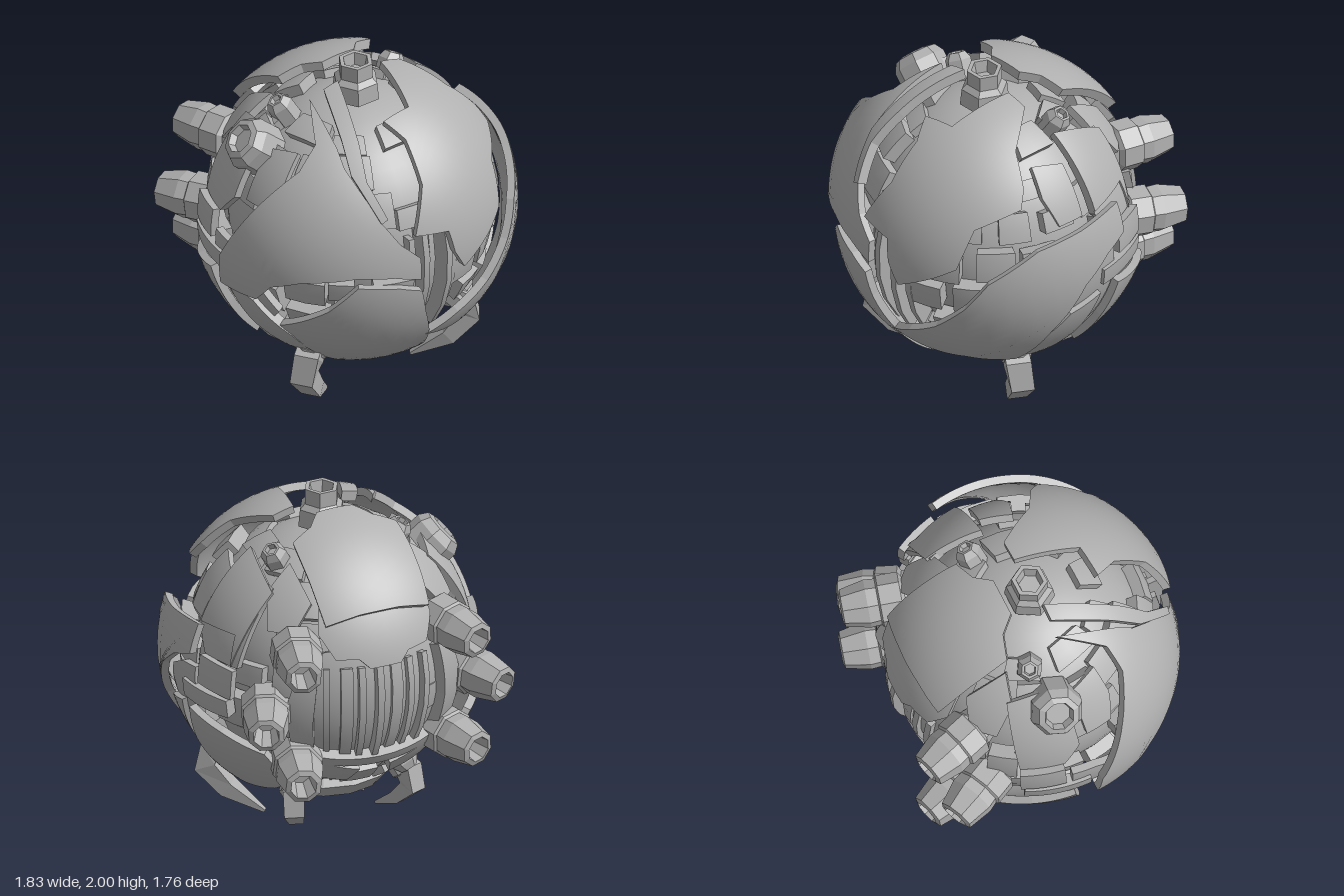
import * as THREE from 'three';

const C = new THREE.Vector3(0, 1.07, 0), RV = 0.9;
const V = (x, y, z) => new THREE.Vector3(x, y, z);
const depth = (a, b) => Math.sqrt(Math.max(0, RV * RV - a * a - b * b));

// Directions from the ball's centre, given by two coordinates on the shell
const F = (x, y) => V(x, y - C.y, depth(x, y - C.y)).normalize();
const B = (x, y) => V(x, y - C.y, -depth(x, y - C.y)).normalize();
const S = (z, y) => V(depth(z, y - C.y), y - C.y, z).normalize();
const T = (x, z) => V(x, depth(x, z), z).normalize();
const polar = (lon, lat) => V(Math.sin(lon) * Math.cos(lat), Math.sin(lat), Math.cos(lon) * Math.cos(lat));

let seed = 7;
const rand = () => (seed = (seed * 16807) % 2147483647) / 2147483647;

export function createModel() {
  const metal = new THREE.MeshStandardMaterial({ color: 0xb0b0b0, side: THREE.DoubleSide });
  metal.name = 'grey metal';
  const model = new THREE.Group();
  model.name = 'roundDrone';
  const add = (name, geometry) => {
    const mesh = new THREE.Mesh(geometry, metal);
    mesh.name = name;
    model.add(mesh);
    return mesh;
  };
  const flat = (g) => {
    const f = g.index ? g.toNonIndexed() : g;
    f.computeVertexNormals();
    return f;
  };

  // Thick curved plate: an outline of directions, filled and wrapped on a sphere
  // whose centre may be shifted, so that the plate stands away from the ball
  function plate(name, outline, R, thick = 0.045, level = 3, shift = V(0, 0, 0)) {
    let pts = outline.map((p) => p.clone().multiplyScalar(RV).sub(shift).normalize());
    const m = pts.reduce((s, p) => s.add(p), V(0, 0, 0)).normalize();
    const u = V(0, 1, 0).cross(m).normalize(), v = m.clone().cross(u), O = C.clone().add(shift);
    const project = (p) => new THREE.Vector2(p.dot(u) / p.dot(m), p.dot(v) / p.dot(m));
    if (THREE.ShapeUtils.area(pts.map(project)) < 0) pts = pts.reverse();
    const pos = [], nor = [];
    const put = (d, r, n) => {
      pos.push(O.x + d.x * r, O.y + d.y * r, O.z + d.z * r);
      nor.push(n.x, n.y, n.z);
    };
    const mid = (a, b) => a.clone().add(b).normalize();
    const fill = (a, b, c, n) => {
      if (n > 0) {
        const ab = mid(a, b), bc = mid(b, c), ca = mid(c, a);
        fill(a, ab, ca, n - 1); fill(ab, b, bc, n - 1);
        fill(ca, bc, c, n - 1); fill(ab, bc, ca, n - 1);
        return;
      }
      for (const d of [a, b, c]) put(d, R, d);
      for (const d of [a, c, b]) put(d, R - thick, d.clone().negate());
    };
    const wall = (a, b, n) => {
      if (n > 0) {
        const ab = mid(a, b);
        wall(a, ab, n - 1); wall(ab, b, n - 1);
        return;
      }
      const out = b.clone().sub(a).cross(a).normalize(), r = R - thick;
      [[a, r], [b, r], [b, R], [a, r], [b, R], [a, R]].forEach(([d, q]) => put(d, q, out));
    };
    for (const [i, j, k] of THREE.ShapeUtils.triangulateShape(pts.map(project), []))
      fill(pts[i], pts[j], pts[k], level);
    pts.forEach((p, i) => wall(p, pts[(i + 1) % pts.length], level));
    const g = new THREE.BufferGeometry();
    g.setAttribute('position', new THREE.Float32BufferAttribute(pos, 3));
    g.setAttribute('normal', new THREE.Float32BufferAttribute(nor, 3));
    add(name, g);
  }
  const flip = (pts) => pts.map((p) => V(-p.x, p.y, p.z));
  const both = (name, pts, ...rest) => {
    plate(name + 'Left', pts, ...rest);
    plate(name + 'Right', flip(pts), ...rest);
  };
  const cell = (lon, lat, w, h) => [polar(lon, lat), polar(lon + w, lat), polar(lon + w, lat + h), polar(lon, lat + h)];

  // Inner ball, covered with machinery blocks of uneven height
  add('core', new THREE.SphereGeometry(0.69, 40, 28)).position.copy(C);
  for (let row = 0; row < 8; row++) {
    const lat = -1.2 + row * 0.3, n = Math.max(6, Math.round(19 * Math.cos(lat + 0.15)));
    for (let i = 0; i < n; i++) {
      const w = (Math.PI * 2) / n, lon = i * w + row * 0.17, d = polar(lon + w / 2, lat + 0.15);
      const inFront = d.z > 0 && Math.abs(d.x) < 0.2 && d.y < 0.35;
      const inBack = d.z < 0 && Math.abs(d.x) < 0.46 && Math.abs(d.y) < 0.5;
      const skip = rand() < 0.12, R = (row > 4 ? 0.715 : 0.745) + rand() * 0.07, k = 0.6 + rand() * 0.35;
      if (skip || inFront || inBack) continue;
      plate('machineryBlock', cell(lon, lat + rand() * 0.05, w * k, 0.15 + rand() * 0.12), R, 0.09, 1);
    }
  }

  // Upright slats in the front slot and the domed rear window
  for (let i = 0; i < 5; i++)
    plate('frontSlat', cell(-0.2 + i * 0.085, -0.62, 0.045, 0.85 + (i % 2) * 0.08), [0.77, 0.81, 0.76, 0.83, 0.79][i], 0.12, 2);
  plate('rearDome', cell(Math.PI - 0.55, -0.6, 1.1, 0.95), 0.755, 0.05, 4);
  for (let i = 0; i < 7; i++)
    plate('rearSlat', cell(Math.PI - 0.45 + i * 0.13, -0.55, i % 3 === 1 ? 0.09 : 0.05, 0.8), 0.775 + ((i * 5) % 4) * 0.011, 0.06, 2);

  // Large front armour plates
  plate('upperRightArmour', [T(-0.33, 0.04), F(-0.47, 1.78), F(-0.6, 1.66), F(-0.8, 1.43), V(-0.9, 0, 0.02).normalize(),
    V(-0.9, -0.2, 0).normalize(), F(-0.84, 0.88), F(-0.82, 1.0), F(-0.73, 1.07), F(-0.5, 1.11), F(-0.3, 1.08), F(-0.13, 1.02), F(-0.13, 1.17),
    F(-0.25, 1.29), F(-0.33, 1.43), F(-0.38, 1.58), F(-0.41, 1.7), F(-0.39, 1.78)], 0.85, 0.045, 3, V(-0.07, -0.01, -0.03));
  plate('upperRightArmourRim', [T(-0.14, 0.05), T(-0.24, 0.05), F(-0.35, 1.81), F(-0.4, 1.67), F(-0.34, 1.43),
    F(-0.3, 1.45), F(-0.34, 1.64), F(-0.28, 1.8)], 0.87, 0.06);
  plate('upperLeftArmour', [F(-0.09, 1.86), F(0, 1.87), F(0.1, 1.87), T(0.18, 0.02), T(0.31, 0.02), F(0.46, 1.8), F(0.6, 1.65), F(0.64, 1.56),
    F(0.5, 1.47), F(0.47, 1.24), F(0.36, 1.16), F(0.14, 1.03), F(0.07, 1.16), F(0.04, 1.3), F(-0.17, 1.33), F(-0.05, 1.58), F(-0.03, 1.78)],
    0.835, 0.045, 3, V(0.03, 0.025, 0.035));
  plate('lowerLeftArmour', [F(-0.03, 0.56), F(0.2, 0.51), S(0.59, 0.52), S(0.38, 0.49), S(0.32, 0.77), S(0.16, 1.05), S(0, 1.18), S(-0.15, 1.24),
    S(-0.15, 1.41), S(0.14, 1.38), S(0.4, 1.34), F(0.62, 1.17), F(0.52, 0.99), F(0.35, 0.81), F(0.15, 0.68)], 0.88, 0.045, 3, V(0.04, 0, 0));
  plate('lowerRightArmour', [F(-0.5, 1.04), F(-0.28, 1.01), F(-0.14, 0.96), F(-0.1, 0.8), F(-0.02, 0.6), F(0.04, 0.42), F(0.04, 0.2),
    F(-0.1, 0.22), F(-0.35, 0.32), F(-0.55, 0.46), F(-0.74, 0.66), F(-0.62, 0.86)], 0.85, 0.045, 3, V(0, -0.05, 0));

  // Side panels
  both('sideMidPanel', [S(0.34, 0.76), S(0.18, 1.03), S(0.02, 1.12), S(-0.13, 1.14), S(-0.13, 0.9), S(-0.06, 0.62), S(0.05, 0.52), S(0.2, 0.62)], 0.85);
  both('sideRearBlock', [S(-0.02, 1.03), S(-0.4, 1.03), S(-0.4, 0.92), S(-0.02, 0.92)], 0.87, 0.07);
  both('sideUpperPanel', [S(-0.05, 1.38), S(-0.05, 1.68), S(-0.1, 1.76), S(-0.38, 1.7), S(-0.42, 1.47), S(-0.42, 1.23), S(-0.16, 1.24)], 0.82);
  both('sideUpperFrontPanel', [S(0.02, 1.4), S(0, 1.7), S(0.2, 1.74), S(0.24, 1.58), S(0.2, 1.4)], 0.79);
  both('sideRearPanel', [S(-0.17, 1.24), S(-0.42, 1.22), S(-0.42, 1.04), S(-0.17, 1.06)], 0.86);
  both('lowerRearArmour', [S(-0.12, 0.9), S(-0.35, 0.83), S(-0.56, 0.75), S(-0.58, 0.56), S(-0.42, 0.45), S(-0.2, 0.4), S(-0.02, 0.43), S(-0.06, 0.66)], 0.9);
  both('lowerSideRib', [F(0.84, 0.82), F(0.88, 0.88), F(0.75, 0.58), F(0.57, 0.4), F(0.52, 0.44), F(0.68, 0.6)], 0.88, 0.06);

  // Rear top plate, the plate below it and the window frame
  const hood = [T(0.11, -0.14), T(0.19, -0.23), T(0.32, -0.27), T(0.33, -0.5), T(0.32, -0.7), T(0.12, -0.73)];
  plate('rearTopArmour', [...hood, ...flip(hood).reverse()], 0.885, 0.055);
  const apron = [B(0.32, 1.66), B(0.37, 1.5), B(0.3, 1.36), B(0.16, 1.35), B(0.1, 1.29)];
  plate('rearApron', [...apron, ...flip(apron).reverse()], 0.83);
  both('rearWindowSide', [B(0.4, 1.3), B(0.5, 1.3), B(0.58, 1.05), B(0.48, 0.62), B(0.38, 0.6), B(0.44, 0.95)], 0.82, 0.08);
  const sill = [B(0.38, 0.68), B(0.48, 0.64), B(0.36, 0.5), B(0.14, 0.43), B(0.1, 0.54), B(0.28, 0.6)];
  plate('rearWindowSill', [...sill, ...flip(sill).reverse()], 0.82, 0.07);
  both('rearShoulder', [T(0.38, -0.32), T(0.55, -0.36), T(0.62, -0.5), T(0.5, -0.62), T(0.36, -0.58)], 0.81);

  // Turned parts, each set along its own direction
  function turned(name, profile, sides, at, dir) {
    const mesh = add(name, flat(new THREE.LatheGeometry(profile.map((p) => new THREE.Vector2(...p)), sides)));
    mesh.position.copy(at);
    mesh.quaternion.setFromUnitVectors(V(0, 1, 0), dir.clone().normalize());
    return mesh;
  }
  turned('topPort', [[0.14, -0.08], [0.13, 0.02], [0.1, 0.05], [0.1, 0.14], [0.075, 0.14], [0.06, 0.07], [0, 0.07]], 6, V(0, 1.86, 0.03), V(0, 1, 0)).rotation.y = Math.PI / 6;
  const thruster = [[0, -0.15], [0.09, -0.15], [0.115, -0.04], [0.145, -0.02], [0.145, 0.1], [0.13, 0.11], [0.135, 0.17], [0.105, 0.31], [0.075, 0.32], [0.055, 0.18], [0, 0.18]];
  const boss = [[0.15, -0.15], [0.15, 0], [0.12, 0.05], [0.085, 0.06], [0.07, 0.02], [0, 0.02]];
  const stud = [[0.075, -0.12], [0.075, 0], [0.05, 0.04], [0.035, 0.04], [0.03, 0.01], [0, 0.01]];
  for (const s of [1, -1]) {
    turned('upperThruster', thruster, 8, V(0.44 * s, 1.36, -0.56), V(0.09 * s, -0.02, -0.3));
    turned('middleThruster', thruster, 8, V(0.59 * s, 1.02, -0.5), V(0.13 * s, -0.03, -0.28));
    turned('lowerThruster', thruster, 8, V(0.44 * s, 0.69, -0.56), V(0.09 * s, -0.02, -0.3));
    const d = T(0.43 * s, -0.18);
    turned('roofStud', stud, 6, C.clone().addScaledVector(d, 0.8), d);
    const e = V(0.35 * s, -0.72, -0.42).normalize();
    turned('undersideStud', stud, 6, C.clone().addScaledVector(e, 0.82), e);
  }
  const side = V(-0.66, 0.58, -0.12).normalize();
  turned('sidePod', boss, 8, C.clone().addScaledVector(side, 0.85), side);
  plate('leftShoulderArmour', [T(0.5, -0.04), T(0.53, -0.4), T(0.8, -0.38), S(-0.35, 1.42), S(-0.05, 1.4)], 0.83);

  // Underside ring and base
  turned('bottomRing', [[0, 0.02], [0.24, 0], [0.34, 0.04], [0.4, 0.12], [0.3, 0.18]], 14, V(0, 0.23, 0), V(0, 1, 0));

  // Claws: a box bent along a path and narrowed to the tip
  function claw(name, path, widths, heights) {
    const n = path.length - 1, g = new THREE.BoxGeometry(1, 1, 1, 1, 1, n), p = g.attributes.position;
    const across = path[1].clone().sub(path[0]).cross(path[n].clone().sub(path[1])).normalize();
    for (let i = 0; i < p.count; i++) {
      const k = Math.round((p.getZ(i) + 0.5) * n);
      const along = path[Math.min(n, k + 1)].clone().sub(path[Math.max(0, k - 1)]).normalize();
      const up = along.cross(across);
      const q = path[k].clone().addScaledVector(across, p.getX(i) * widths[k]).addScaledVector(up, p.getY(i) * heights[k]);
      p.setXYZ(i, q.x, q.y, q.z);
    }
    add(name, flat(g));
  }
  for (const s of [1, -1]) {
    claw('frontClaw', [V(0.43 * s, 0.46, 0.25), V(0.53 * s, 0.39, 0.32), V(0.56 * s, 0.28, 0.32), V(0.46 * s, 0.14, 0.26), V(0.29 * s, 0.01, 0.14)],
      [0.13, 0.14, 0.13, 0.11, 0.03], [0.1, 0.12, 0.12, 0.09, 0.015]);
    claw('rearClaw', [V(0.3 * s, 0.4, -0.25), V(0.35 * s, 0.35, -0.36), V(0.36 * s, 0.26, -0.38), V(0.31 * s, 0.17, -0.3), V(0.24 * s, 0.09, -0.17)],
      [0.11, 0.12, 0.11, 0.08, 0.03], [0.09, 0.1, 0.1, 0.07, 0.015]);
    turned('frontClawJoint', [[0, -0.1], [0.09, -0.1], [0.09, 0.06], [0.06, 0.09], [0, 0.09]], 8, V(0.46 * s, 0.44, 0.27), V(0.5 * s, -0.6, 0.3));
    turned('rearClawJoint', [[0, -0.1], [0.08, -0.1], [0.08, 0.05], [0.05, 0.08], [0, 0.08]], 8, V(0.32 * s, 0.38, -0.3), V(0.3 * s, -0.6, -0.35));
  }
  return model;
}
